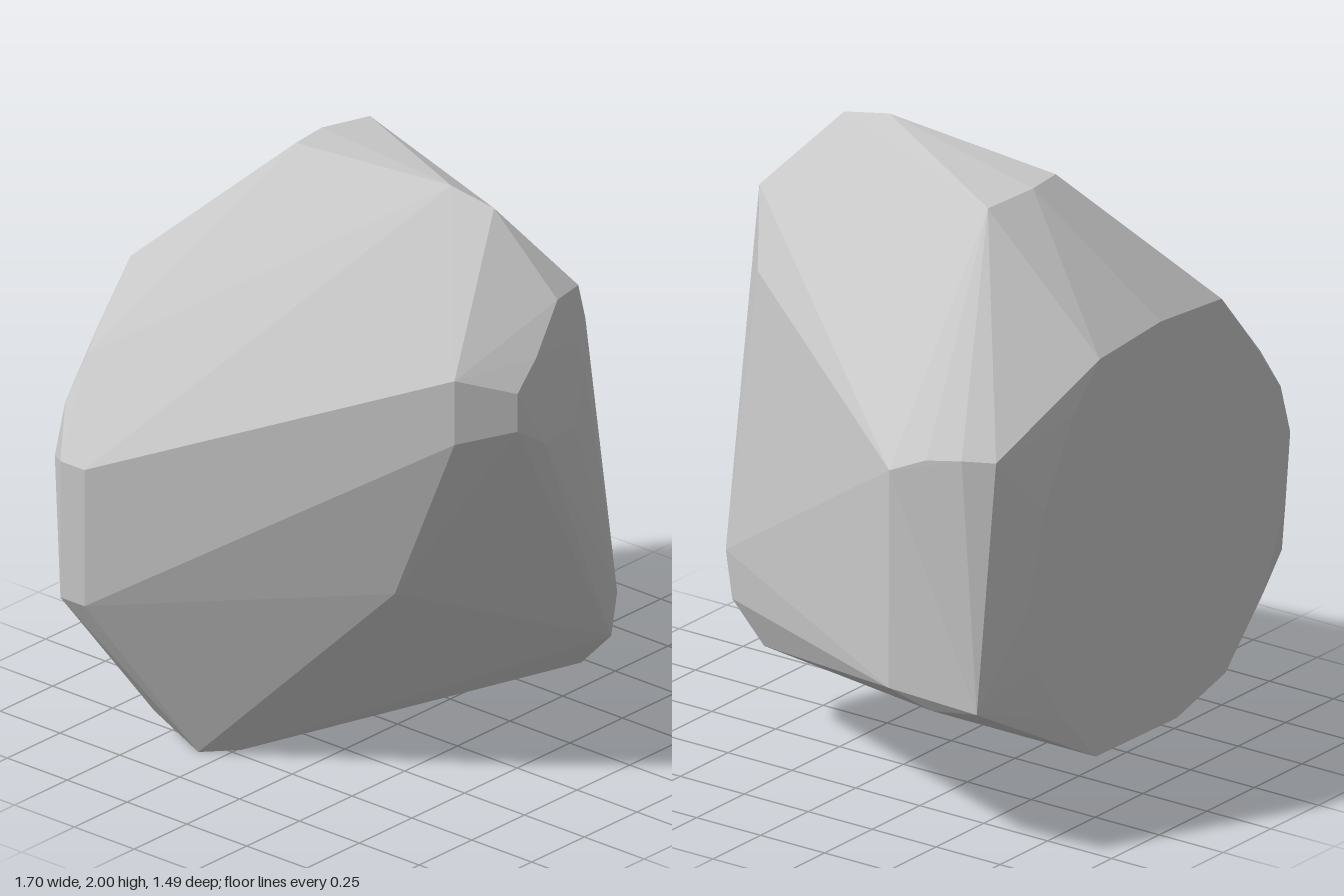
import * as THREE from 'three';
import { ConvexGeometry } from 'three/addons/geometries/ConvexGeometry.js';

// Corners of the boulder, grouped by facet
const crown = [
  [-0.12, 2.0, 0.33], [-0.11, 1.97, 0.5], [0.21, 1.935, -0.3], [0.02, 1.95, -0.335], [-0.12, 1.95, -0.32],
];
const leftCheek = [
  [0.835, 1.27, -0.38], [0.79, 1.315, -0.49], [0.75, 1.325, -0.6], [0.69, 1.32, -0.69],
  [0.805, 0.51, -0.7], [0.8, 0.48, -0.52], [0.845, 0.54, -0.385],
];
const rightCheek = [
  [-0.85, 1.0, -0.56], [-0.85, 1.0, -0.66], [-0.85, 0.53, -0.56], [-0.85, 0.53, -0.66], [-0.65, 1.28, -0.725],
];
const nose = [
  [-0.4, 1.5, 0.59], [-0.4, 1.28, 0.59], [-0.4, 0.69, 0.34],
  [-0.26, 1.45, 0.73], [-0.26, 1.32, 0.73], [-0.15, 1.25, 0.745], [0, 1.25, 0.745],
  [0.05, 1.44, 0.738], [0.0, 1.55, 0.742], [-0.18, 1.55, 0.738], [-0.07, 1.71, 0.73], [0.04, 1.72, 0.72],
  [0.21, 1.51, 0.6], [0.27, 0.57, 0.68], [0.27, 0.41, 0.655], [0.27, 0.28, 0.53],
];
const foot = [
  [-0.57, 0, -0.33], [-0.47, 0, -0.24], [-0.27, 0, -0.34], [-0.575, 0.09, -0.51], [0.27, 0.22, -0.6],
];

// Flat rounded back: x, y outline in one plane
const backZ = -0.745;
const backOutline = [
  [0.22, 1.535], [-0.1, 1.56], [-0.42, 1.535], [-0.573, 1.35], [-0.73, 1.14], [-0.78, 0.97], [-0.755, 0.74],
  [-0.637, 0.47], [-0.44, 0.266], [-0.185, 0.195], [0.24, 0.2], [0.41, 0.38], [0.567, 0.61],
  [0.59, 0.82], [0.51, 1.12], [0.36, 1.385],
];

export function createModel() {
  const group = new THREE.Group();
  group.name = 'boulder';

  const stone = new THREE.MeshStandardMaterial({ color: 0xc8c8c8 });
  stone.name = 'light grey stone';
  stone.flatShading = true;

  const back = backOutline.map(([x, y]) => [x, y, backZ]);
  const corners = [crown, leftCheek, rightCheek, nose, foot, back].flat()
    .map((p) => new THREE.Vector3(...p));

  const rock = new THREE.Mesh(new ConvexGeometry(corners), stone);
  rock.name = 'rock';
  group.add(rock);
  return group;
}
